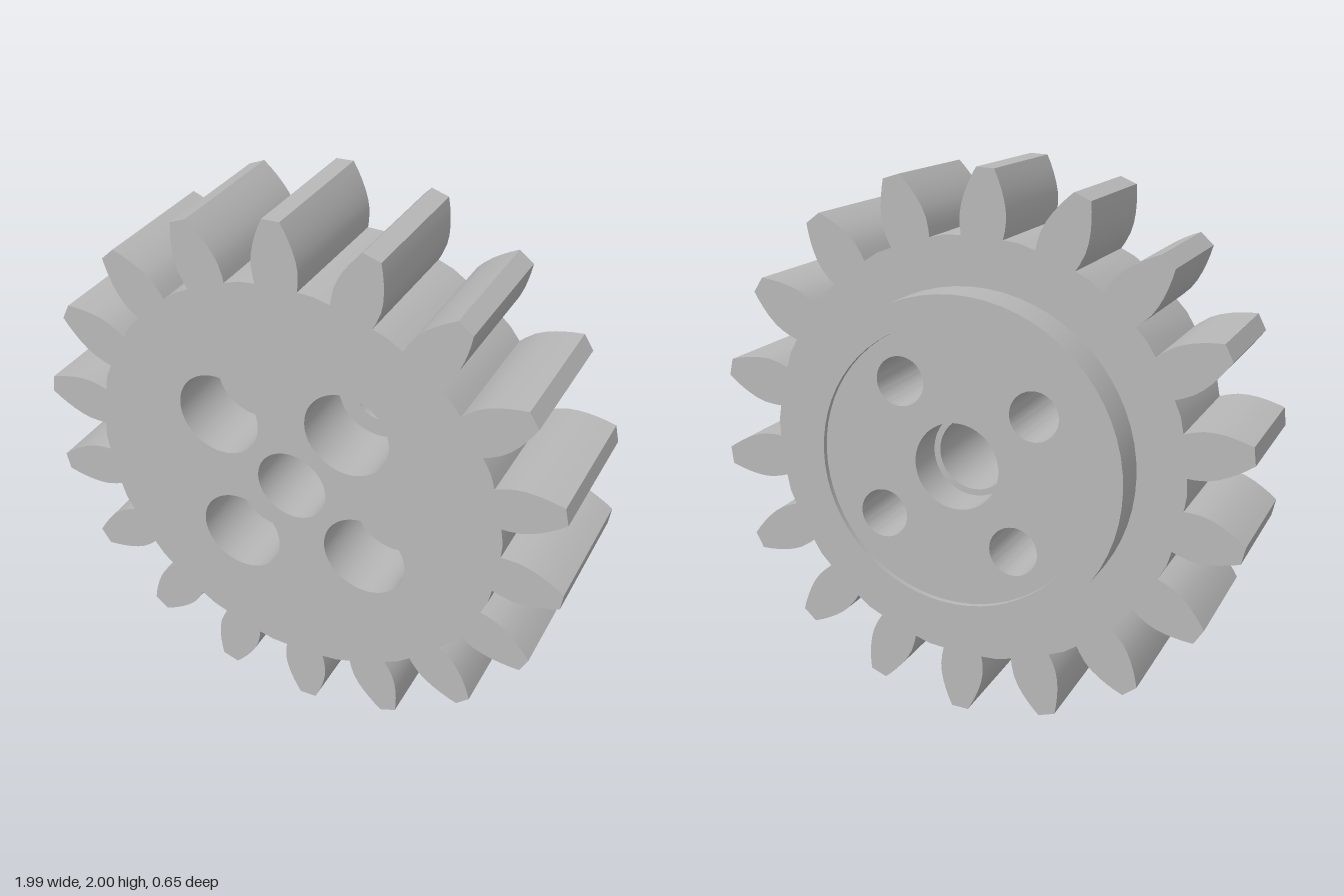
import * as THREE from 'three';
import { toCreasedNormals } from 'three/addons/utils/BufferGeometryUtils.js';

const TEETH = 18, FRONT = 0.325, BACK = -0.175, END = -0.325, RECESS = -0.305;
const BOSS_R = 0.6, RECESS_R = 0.505, BORE_R = 0.132, BORE_BACK_R = 0.155;
const BOLT_R = 0.088, COUNTERBORE_R = 0.155, BOLT_CIRCLE = 0.35;
const SEG = 32;

// Half of a tooth, as [radius, half width] from root to tip
const TOOTH = [[0.772, 0.076], [0.80, 0.081], [0.84, 0.084], [0.875, 0.08],
  [0.91, 0.071], [0.94, 0.06], [0.97, 0.047], [0.999, 0.032]];

// Counter-clockwise gear outline
function gearOutline() {
  const points = [];
  const step = (Math.PI * 2) / TEETH;
  for (let i = 0; i < TEETH; i++) {
    const angle = THREE.MathUtils.degToRad(93) + i * step;
    const add = (r, w) => {
      const along = Math.sqrt(r * r - w * w);
      points.push(new THREE.Vector2(
        along * Math.cos(angle) - w * Math.sin(angle),
        along * Math.sin(angle) + w * Math.cos(angle)));
    };
    TOOTH.forEach(([r, w]) => add(r, -w));
    [...TOOTH].reverse().forEach(([r, w]) => add(r, w));
    // Middle of the root between two teeth
    const mid = angle + step / 2;
    points.push(new THREE.Vector2(0.776 * Math.cos(mid), 0.776 * Math.sin(mid)));
  }
  return points;
}

// Side surface of an outline between two depths
function wall(points, z0, z1) {
  const pos = [];
  points.forEach((a, i) => {
    const b = points[(i + 1) % points.length];
    pos.push(a.x, a.y, z0, b.x, b.y, z0, b.x, b.y, z1);
    pos.push(a.x, a.y, z0, b.x, b.y, z1, a.x, a.y, z1);
  });
  const geo = new THREE.BufferGeometry();
  geo.setAttribute('position', new THREE.Float32BufferAttribute(pos, 3));
  return toCreasedNormals(geo, 0.5);
}

// Flat face with round holes, looking to the front or to the back
function face(shape, holes, z, toBack) {
  for (const [x, y, r] of holes) {
    shape.holes.push(new THREE.Path().absarc(x, y, r, 0, Math.PI * 2, true));
  }
  const geo = new THREE.ShapeGeometry(shape, SEG);
  if (toBack) {
    geo.index.array.reverse();
    geo.computeVertexNormals();
  }
  return geo.translate(0, 0, z);
}

// Turned surface around the z axis, from [radius, z] pairs
function turned(profile) {
  const points = profile.map(([r, z]) => new THREE.Vector2(r, z));
  const geo = new THREE.LatheGeometry(points, SEG * 2).rotateX(Math.PI / 2);
  return toCreasedNormals(geo, 0.6);
}

export function createModel() {
  const group = new THREE.Group();
  const grey = new THREE.MeshStandardMaterial({ color: 0xb8b8b8 });
  grey.name = 'grey';
  const add = (name, geo, x = 0, y = 0) => {
    const mesh = new THREE.Mesh(geo, grey);
    mesh.name = name;
    mesh.position.set(x, y + 1, 0);
    group.add(mesh);
  };

  const bolts = [0, 1, 2, 3].map((i) => {
    const a = THREE.MathUtils.degToRad(53.3 + i * 90);
    return [BOLT_CIRCLE * Math.cos(a), BOLT_CIRCLE * Math.sin(a)];
  });
  const boltHoles = (r) => bolts.map(([x, y]) => [x, y, r]);

  // Toothed wheel
  const outline = gearOutline();
  add('gearTeeth', wall(outline, BACK, FRONT));
  add('gearFrontFace', face(new THREE.Shape(outline),
    [[0, 0, BORE_R], ...boltHoles(COUNTERBORE_R)], FRONT, false));
  add('gearBackFace', face(new THREE.Shape(outline), [[0, 0, BOSS_R]], BACK, true));

  // Hub boss with raised rim and shallow recess
  add('hubRim', turned([[RECESS_R, RECESS], [RECESS_R, END], [BOSS_R, END], [BOSS_R, BACK]]));
  const disc = new THREE.Shape().absarc(0, 0, RECESS_R, 0, Math.PI * 2, false);
  add('hubRecessFace', face(disc,
    [[0, 0, BORE_BACK_R], ...boltHoles(BOLT_R)], RECESS, true));

  // Stepped shaft bore, wider at the back
  add('shaftBore', turned([[BORE_R, FRONT], [BORE_R, -0.15],
    [BORE_BACK_R, -0.15], [BORE_BACK_R, RECESS]]));

  // Counterbored bolt holes, wider at the front
  for (const [x, y] of bolts) {
    add('boltHole', turned([[COUNTERBORE_R, FRONT], [COUNTERBORE_R, 0.075],
      [BOLT_R, 0.075], [BOLT_R, RECESS]]), x, y);
  }
  return group;
}
